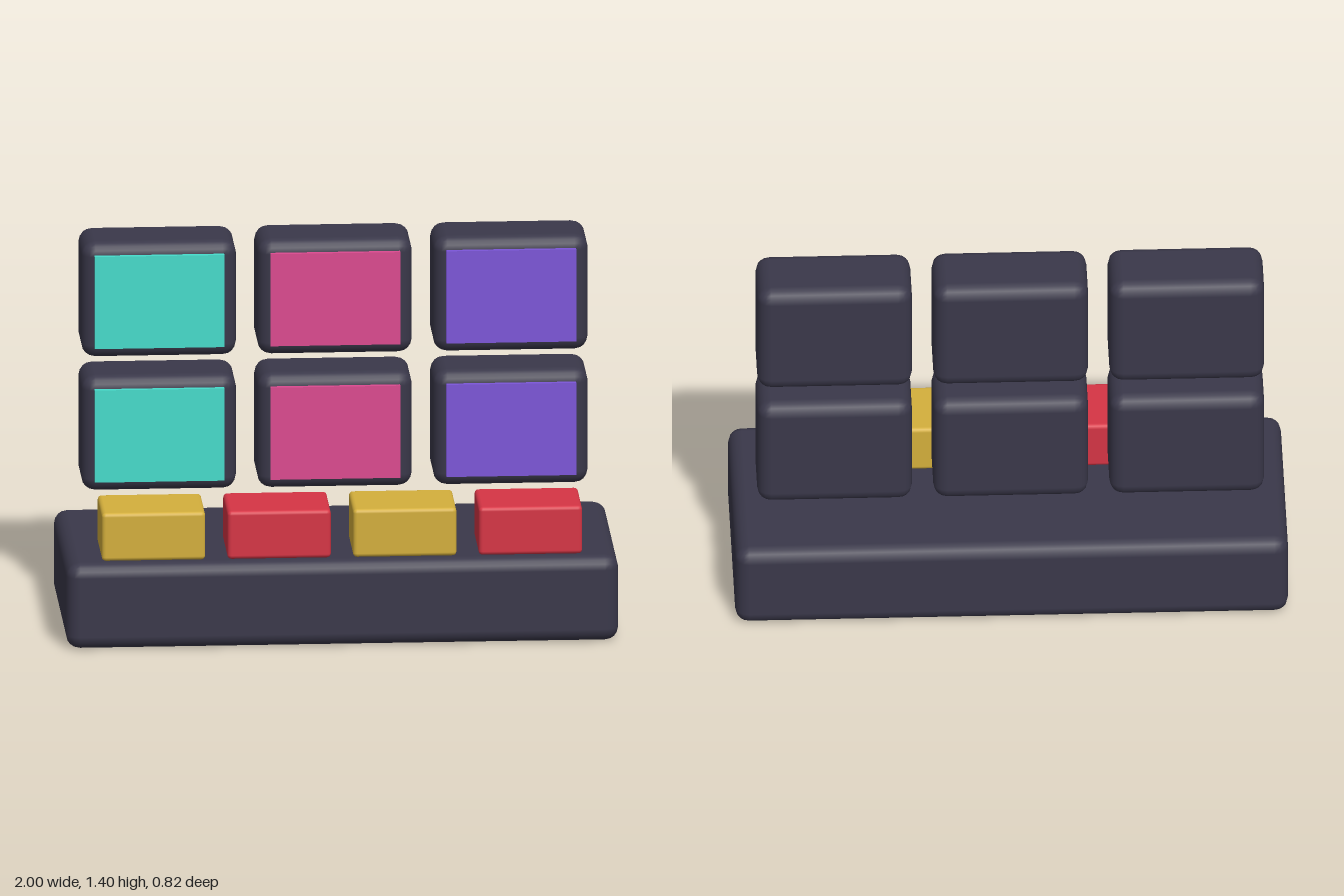
import * as THREE from 'three';
import { RoundedBoxGeometry } from 'three/addons/geometries/RoundedBoxGeometry.js';

function material(name, color) {
  const m = new THREE.MeshStandardMaterial({ color });
  m.name = name;
  return m;
}

export function createModel() {
  const model = new THREE.Group();
  model.name = 'controlConsole';

  const casing = material('dark casing', 0x3a384a);
  const yellow = material('yellow', 0xd4af3c);
  const red = material('red', 0xd63545);
  const screenColors = [
    material('turquoise', 0x46dccb),
    material('pink', 0xdc4a90),
    material('purple', 0x7c56d8),
  ];

  function add(parent, name, geometry, mat, x, y, z) {
    const mesh = new THREE.Mesh(geometry, mat);
    mesh.name = name;
    mesh.position.set(x, y, z);
    parent.add(mesh);
  }

  // Desk slab
  add(model, 'desk', new RoundedBoxGeometry(2, 0.32, 0.82, 2, 0.05), casing, 0, 0.16, 0);

  // Four desk buttons in alternating colours
  const buttonGeometry = new RoundedBoxGeometry(0.375, 0.18, 0.27, 2, 0.015);
  for (let i = 0; i < 4; i++) {
    add(model, 'button', buttonGeometry, i % 2 ? red : yellow, (i - 1.5) * 0.455, 0.41, 0.227);
  }

  // Two rows of three floating monitors, each with a raised screen
  const housingGeometry = new RoundedBoxGeometry(0.56, 0.432, 0.272, 2, 0.05);
  const screenGeometry = new THREE.BoxGeometry(0.47, 0.345, 0.02);
  for (const y of [0.684, 1.184]) {
    screenColors.forEach((color, i) => {
      const monitor = new THREE.Group();
      monitor.name = 'monitor';
      monitor.position.set((i - 1) * 0.637, y, -0.181);
      add(monitor, 'housing', housingGeometry, casing, 0, 0, 0);
      add(monitor, 'screen', screenGeometry, color, 0, 0, 0.144);
      model.add(monitor);
    });
  }

  return model;
}
